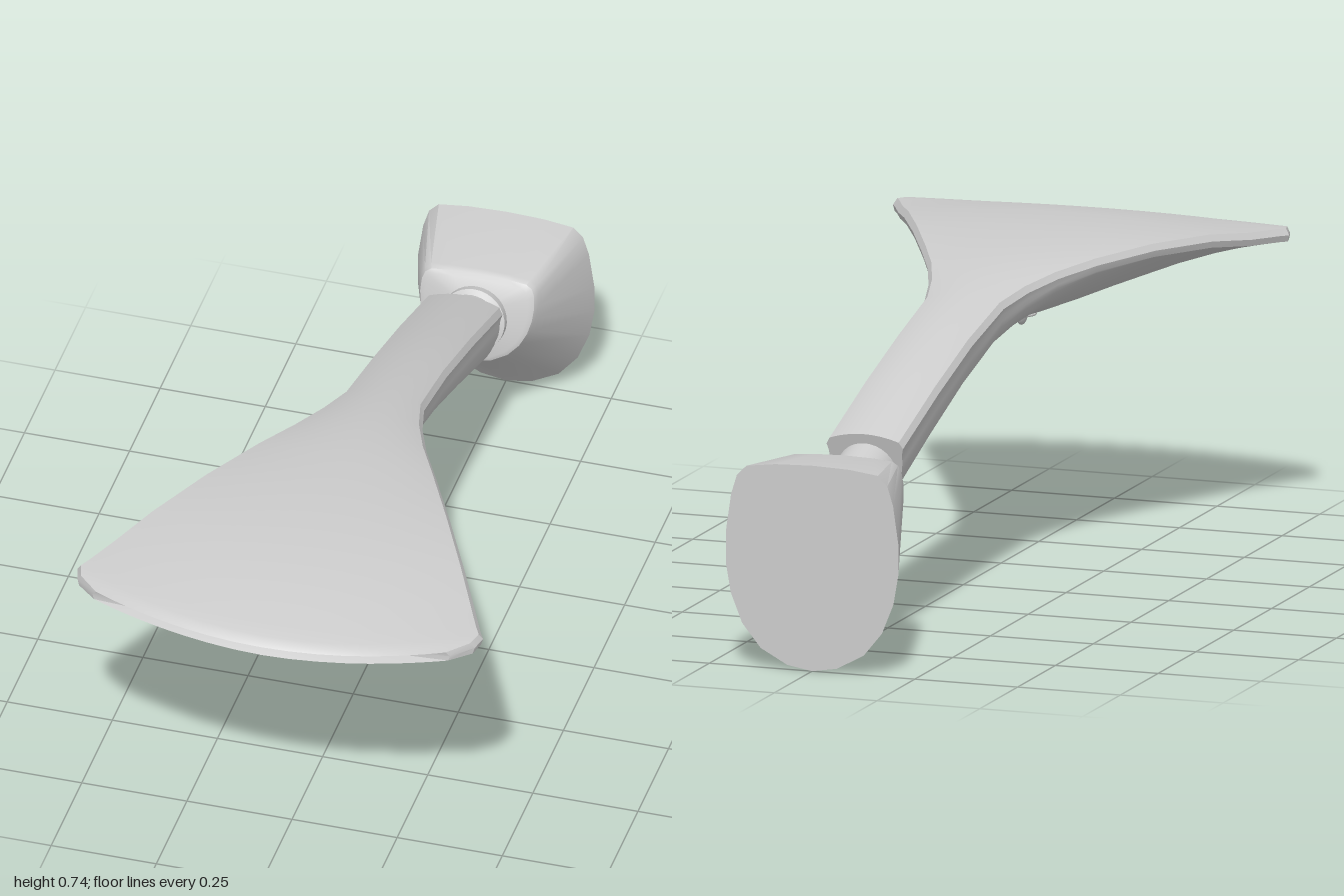
import * as THREE from 'three';
import { toCreasedNormals } from 'three/addons/utils/BufferGeometryUtils.js';

const material = new THREE.MeshStandardMaterial({ color: 0xcccccc });

function addMesh(parent, name, geometry) {
  const mesh = new THREE.Mesh(geometry, material);
  mesh.name = name;
  parent.add(mesh);
  return mesh;
}

// Skin closed rings (counter-clockwise seen from +z, ordered towards +z) and cap both ends
function loft(rings, crease) {
  const n = rings[0].length;
  const verts = rings.flat();
  const index = [];
  for (let i = 0; i < rings.length - 1; i++) {
    for (let j = 0; j < n; j++) {
      const a = i * n + j, b = i * n + (j + 1) % n;
      index.push(a, b, a + n, b, b + n, a + n);
    }
  }
  const cap = (ring, start, flip) => {
    const c = verts.length;
    verts.push(ring.reduce((s, p) => s.add(p), new THREE.Vector3()).divideScalar(n));
    for (let j = 0; j < n; j++) {
      const a = start + j, b = start + (j + 1) % n;
      if (flip) index.push(c, b, a); else index.push(c, a, b);
    }
  };
  cap(rings[0], 0, true);
  cap(rings[rings.length - 1], (rings.length - 1) * n, false);
  const g = new THREE.BufferGeometry().setFromPoints(verts);
  g.setIndex(index);
  return toCreasedNormals(g, crease);
}

// Body section: gently crowned top, thin rim, U-shaped (handle) to shallow (head) underside
function bodySection([zT, yT, zB, yB, w, bow, crown, q]) {
  const steps = 20, ring = [];
  const rim = yT - crown;
  const e = Math.min(0.03, (rim - yB) * 0.6);
  const depth = rim - e - yB;
  const put = (x, y) => {
    const t = (yT - y) / (yT - yB), u = x / w;
    ring.push(new THREE.Vector3(x, y, zT + (zB - zT) * t - bow * u * u));
  };
  for (let i = 0; i <= steps; i++) {
    const u = Math.cos(Math.PI * i / steps);
    put(u * (w - 0.009), rim + crown * (1 - u * u));
  }
  put(-w, rim - e / 2);
  for (let i = 0; i <= steps; i++) {
    const u = -Math.cos(Math.PI * i / steps);
    const drop = Math.pow(Math.max(0, 1 - Math.pow(Math.abs(u), 2.5 - q)), q);
    put(u * (w - 0.004), rim - e - depth * drop);
  }
  put(w, rim - e / 2);
  return ring;
}

// Smooth closed outline from its right half (bottom to top), mirrored
function mirrored(half) {
  const left = half.slice(1, -1).reverse().map(([x, y]) => [-x, y]);
  return [...half, ...left];
}

export function createModel() {
  const group = new THREE.Group();

  // Handle flaring into the fan-shaped head:
  // top z, top y, bottom z, bottom y, half width, bow, crown, underside shape
  const stations = [
    [-0.66, 0.485, -0.61, 0.31, 0.093, 0, 0.015, 0.5],
    [-0.42, 0.567, -0.38, 0.40, 0.093, 0, 0.015, 0.5],
    [-0.20, 0.633, -0.17, 0.477, 0.093, 0, 0.015, 0.5],
    [0.00, 0.68, 0.02, 0.538, 0.097, 0, 0.015, 0.5],
    [0.10, 0.70, 0.11, 0.562, 0.122, 0, 0.015, 0.55],
    [0.20, 0.716, 0.20, 0.576, 0.16, 0, 0.015, 0.65],
    [0.32, 0.728, 0.32, 0.562, 0.215, 0.01, 0.014, 0.85],
    [0.50, 0.735, 0.50, 0.547, 0.295, 0.03, 0.013, 1],
    [0.70, 0.729, 0.70, 0.550, 0.375, 0.07, 0.012, 1],
    [0.85, 0.708, 0.85, 0.580, 0.43, 0.11, 0.005, 1],
    [0.94, 0.69, 0.94, 0.613, 0.468, 0.12, -0.008, 1],
    [0.975, 0.682, 0.975, 0.63, 0.482, 0.13, -0.014, 1],
    [0.99, 0.676, 0.99, 0.638, 0.472, 0.11, -0.017, 1],
    [1.00, 0.668, 1.00, 0.646, 0.425, 0.08, -0.017, 1],
  ];
  addMesh(group, 'handleAndHead', loft(stations.map(bodySection), 0.6));

  // Grooved swivel neck, its axis sloping down to the mount
  const neckProfile = [[0, -0.04], [0.072, -0.04], [0.072, 0.055], [0.062, 0.06], [0.062, 0.075],
    [0.077, 0.08], [0.077, 0.10], [0.068, 0.105], [0.068, 0.15], [0, 0.15]]
    .map(([r, s]) => new THREE.Vector2(r, s));
  const neck = addMesh(group, 'swivelNeck',
    toCreasedNormals(new THREE.LatheGeometry(neckProfile, 32), 0.5));
  neck.position.set(0, 0.39, -0.645);
  neck.quaternion.setFromUnitVectors(new THREE.Vector3(0, 1, 0),
    new THREE.Vector3(0, -0.27, -0.963).normalize());

  // Wall mount: D-shaped back plate tapering to a smaller sloped front with a soft edge
  const back = mirrored([[0, 0], [0.06, 0.01], [0.125, 0.045], [0.17, 0.10], [0.198, 0.17],
    [0.21, 0.24], [0.21, 0.31], [0.197, 0.40], [0.183, 0.445], [0.16, 0.468], [0.09, 0.477], [0, 0.48]]);
  const front = mirrored([[0, 0.25], [0.045, 0.257], [0.085, 0.278], [0.112, 0.306], [0.129, 0.338],
    [0.138, 0.37], [0.141, 0.40], [0.139, 0.43], [0.132, 0.447], [0.118, 0.457], [0.07, 0.461], [0, 0.463]]);
  const frontRing = (scale, push) => front.map(([x, y]) => {
    const yy = 0.37 + (y - 0.37) * scale;
    return new THREE.Vector3(x * scale, yy, -0.725 - (yy - 0.255) * 0.28 + push);
  });
  addMesh(group, 'wallMount', loft([
    back.map(([x, y]) => new THREE.Vector3(x, y, -1)),
    frontRing(1, -0.012),
    frontRing(0.96, 0.002),
    frontRing(0.87, 0.008),
  ], 0.6));

  // Round button with a small fin under the head
  const button = new THREE.Group();
  button.name = 'undersideButton';
  button.position.set(0, 0.556, 0.39);
  group.add(button);
  addMesh(button, 'buttonRing', new THREE.TorusGeometry(0.03, 0.004, 8, 28).rotateX(Math.PI / 2));
  const fin = addMesh(button, 'buttonFin', new THREE.SphereGeometry(1, 20, 12));
  fin.scale.set(0.01, 0.027, 0.03);

  return group;
}
